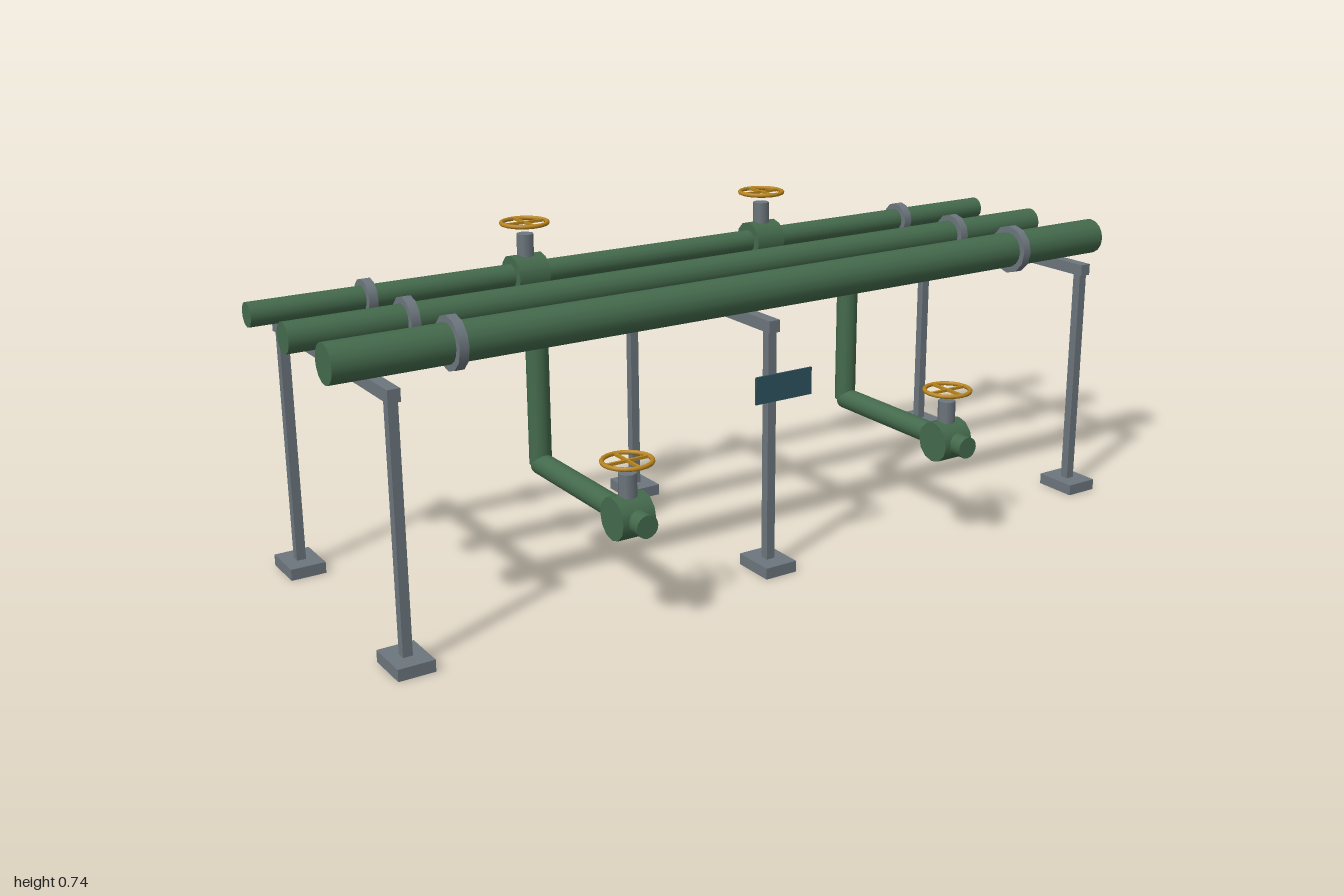
import * as THREE from 'three';

const mat = (name, color) => {
  const m = new THREE.MeshStandardMaterial({ color });
  m.name = name;
  return m;
};

export function createModel() {
  const green = mat('pipe green', 0x446a4c);
  const steel = mat('steel grey', 0x6c767d);
  const gold = mat('wheel ochre', 0xb9851f);
  const teal = mat('sign teal', 0x2f5361);

  const model = new THREE.Group();
  model.name = 'pipeRack';

  const add = (parent, name, geometry, material, x, y, z) => {
    const mesh = new THREE.Mesh(geometry, material);
    mesh.name = name;
    mesh.position.set(x, y, z);
    parent.add(mesh);
    return mesh;
  };
  const box = (w, h, d) => new THREE.BoxGeometry(w, h, d);
  // Cylinder along the chosen axis
  const rod = (axis, r, length, sides) => {
    const g = new THREE.CylinderGeometry(r, r, length, sides);
    if (axis === 'x') g.rotateZ(Math.PI / 2);
    if (axis === 'z') g.rotateX(Math.PI / 2);
    return g;
  };

  const pipeY = 0.62, midZ = -0.054, backZ = -0.266;

  // Long pipes with their flanges
  for (const [z, r] of [[0.16, 0.042], [midZ, 0.033], [backZ, 0.027]]) {
    add(model, 'mainPipe', rod('x', r, 2, 16), green, 0, pipeY, z);
    for (const x of [-0.737, 0.735]) {
      add(model, 'flange', rod('x', r + 0.015, 0.021, 12), steel, x, pipeY, z);
    }
  }

  // Support frames: beam, two posts, two foot plates
  for (const x of [-0.902, -0.03, 0.896]) {
    const frame = new THREE.Group();
    frame.name = 'supportFrame';
    frame.position.x = x;
    add(frame, 'crossBeam', box(0.027, 0.027, 0.614), steel, 0, 0.5645, midZ);
    for (const z of [0.235, -0.342]) {
      add(frame, 'post', box(0.021, 0.526, 0.021), steel, 0, 0.288, z);
      add(frame, 'footPlate', box(0.08, 0.026, 0.104), steel, 0, 0.013, z);
    }
    model.add(frame);
  }

  // Valve: body across, short stem, and a spoked handwheel above
  const addValve = (x, y, z) => {
    const valve = new THREE.Group();
    valve.name = 'valve';
    valve.position.set(x, y, z);
    add(valve, 'valveBody', rod('x', 0.0465, 0.077, 12), green, 0, 0, 0);
    add(valve, 'valveStem', rod('y', 0.02, 0.093, 8), steel, 0, 0.0465, 0);
    const rim = new THREE.TorusGeometry(0.052, 0.005, 8, 20).rotateX(Math.PI / 2);
    add(valve, 'handwheelRim', rim, gold, 0, 0.118, 0);
    add(valve, 'handwheelSpoke', box(0.104, 0.006, 0.006), gold, 0, 0.118, 0);
    add(valve, 'handwheelSpoke', box(0.006, 0.006, 0.104), gold, 0, 0.118, 0);
    model.add(valve);
  };
  for (const x of [-0.352, 0.298]) addValve(x, pipeY, backZ);

  // Branches dropping from the middle pipe and running forward to a valve
  const lowY = 0.246, endZ = 0.397;
  for (const x of [-0.441, 0.406]) {
    add(model, 'dropPipe', rod('y', 0.025, pipeY - lowY, 16), green, x, (pipeY + lowY) / 2, midZ);
    add(model, 'branchPipe', rod('z', 0.025, endZ - midZ, 16), green, x, lowY, (endZ + midZ) / 2);
    addValve(x, lowY, 0.321);
  }

  // Blank sign plate on the middle front post
  add(model, 'signPlate', box(0.148, 0.062, 0.004), teal, -0.003, 0.427, 0.2505);

  return model;
}
